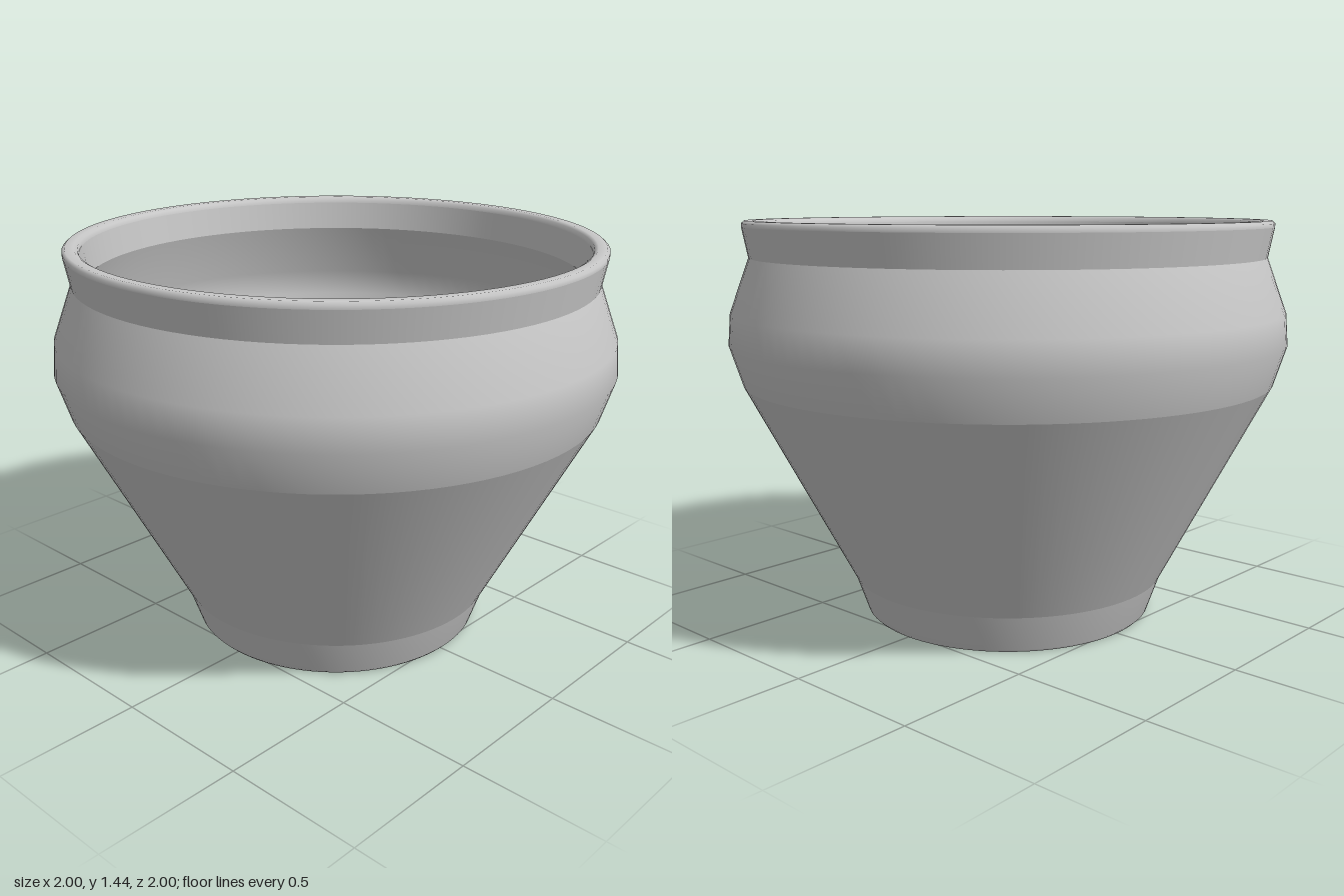
import * as THREE from 'three';

export function createModel() {
  const clay = new THREE.MeshStandardMaterial({ color: 0xc8c8c8 });
  clay.name = 'pale grey clay';

  const pot = new THREE.Group();
  pot.name = 'pot';

  // Each section is smooth in itself; edges between sections stay sharp.
  const sections = {
    base: [[0, 0], [0.52, 0]],
    foot: [[0.52, 0], [0.53, 0.01], [0.575, 0.14]],
    lowerBody: [[0.575, 0.14], [0.955, 0.87]],
    shoulder: [[0.955, 0.87], [0.999, 1.01], [0.99, 1.12], [0.92, 1.31]],
    neck: [[0.92, 1.31], [0.94, 1.415]],
    rim: [[0.94, 1.415], [0.94, 1.428], [0.93, 1.437], [0.9, 1.437], [0.888, 1.43], [0.884, 1.415]],
    innerNeck: [[0.884, 1.415], [0.87, 1.31]],
    innerShoulder: [[0.87, 1.31], [0.94, 1.11], [0.948, 1.01], [0.905, 0.88]],
    innerWall: [[0.905, 0.88], [0.525, 0.15], [0.475, 0.06]],
    floor: [[0.475, 0.06], [0, 0.06]],
  };

  for (const [name, profile] of Object.entries(sections)) {
    const points = profile.map(([r, y]) => new THREE.Vector2(r, y));
    const mesh = new THREE.Mesh(new THREE.LatheGeometry(points, 96), clay);
    mesh.name = name;
    pot.add(mesh);
  }
  return pot;
}
